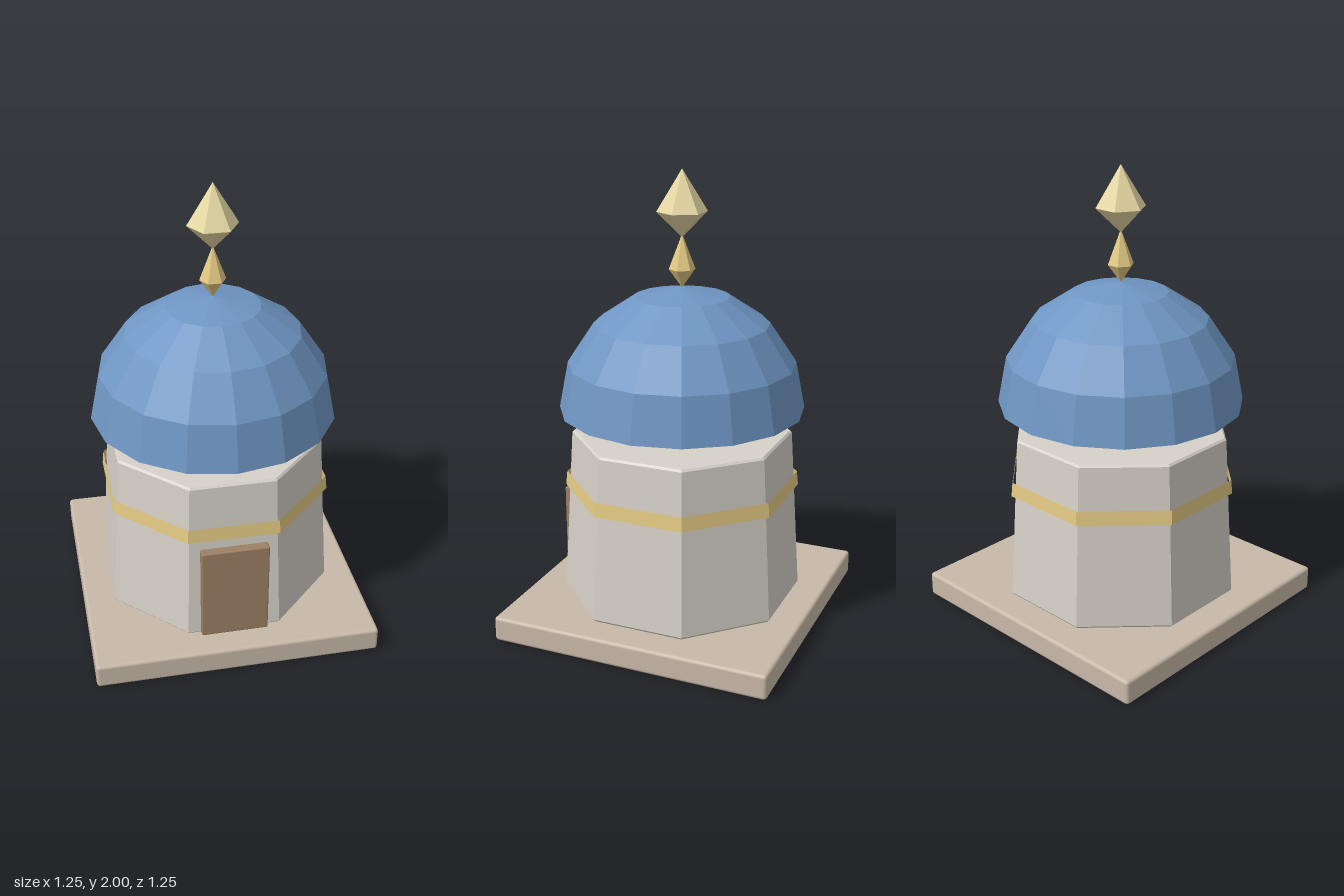
import * as THREE from 'three';
import { RoundedBoxGeometry } from 'three/addons/geometries/RoundedBoxGeometry.js';

const material = (color, extra = {}) => new THREE.MeshStandardMaterial({ color, ...extra });

// Faceted solid turned from [radius, height] points, bottom to top
function faceted(points, sides, start) {
  const profile = points.map(([r, y]) => new THREE.Vector2(r, y));
  return new THREE.LatheGeometry(profile, sides, start);
}

export function createModel() {
  const model = new THREE.Group();
  model.name = 'domedShrine';
  const flat = { flatShading: true };

  function add(name, geometry, mat, x = 0, y = 0, z = 0) {
    const mesh = new THREE.Mesh(geometry, mat);
    mesh.name = name;
    mesh.position.set(x, y, z);
    model.add(mesh);
    return mesh;
  }

  // Square plinth with softened edges
  add('plinth', new RoundedBoxGeometry(1.25, 0.112, 1.25, 2, 0.015), material(0xc8b9a8), 0, 0.056, 0);

  // Tapered octagonal drum, a flat side to the front; radii are across the flats
  const octagon = 1 / Math.cos(Math.PI / 8);
  const drumProfile = [[0, 0.112], [0.484, 0.112], [0.492, 0.122], [0.448, 0.848], [0.44, 0.857], [0, 0.857]];
  add('drum', faceted(drumProfile.map(([r, y]) => [r * octagon, y]), 8, Math.PI / 8),
    material(0xd6d1c8, flat));

  // Gold band standing just proud of the drum
  const bandProfile = [[0.48, 0.6], [0.474, 0.663]];
  add('band', faceted(bandProfile.map(([r, y]) => [r * octagon, y]), 8, Math.PI / 8),
    material(0xe3c983, { ...flat, side: THREE.DoubleSide }));

  // Door on the front side
  add('door', new RoundedBoxGeometry(0.295, 0.445, 0.042, 2, 0.006), material(0x9c8064), 0, 0.336, 0.494);

  // Open hemispherical dome
  add('dome', new THREE.SphereGeometry(0.536, 16, 4, 0, Math.PI * 2, 0, Math.PI / 2),
    material(0x6f96c4, { ...flat, side: THREE.DoubleSide }), 0, 0.968, 0);

  // Two six-sided finial stones, corners on the x axis
  add('lowerFinial', faceted([[0, 1.5], [0.057, 1.58], [0, 1.73]], 6, Math.PI / 6), material(0xe3c983, flat));
  add('upperFinial', faceted([[0, 1.715], [0.109, 1.823], [0, 2]], 6, Math.PI / 6), material(0xe6d9a4, flat));

  return model;
}
